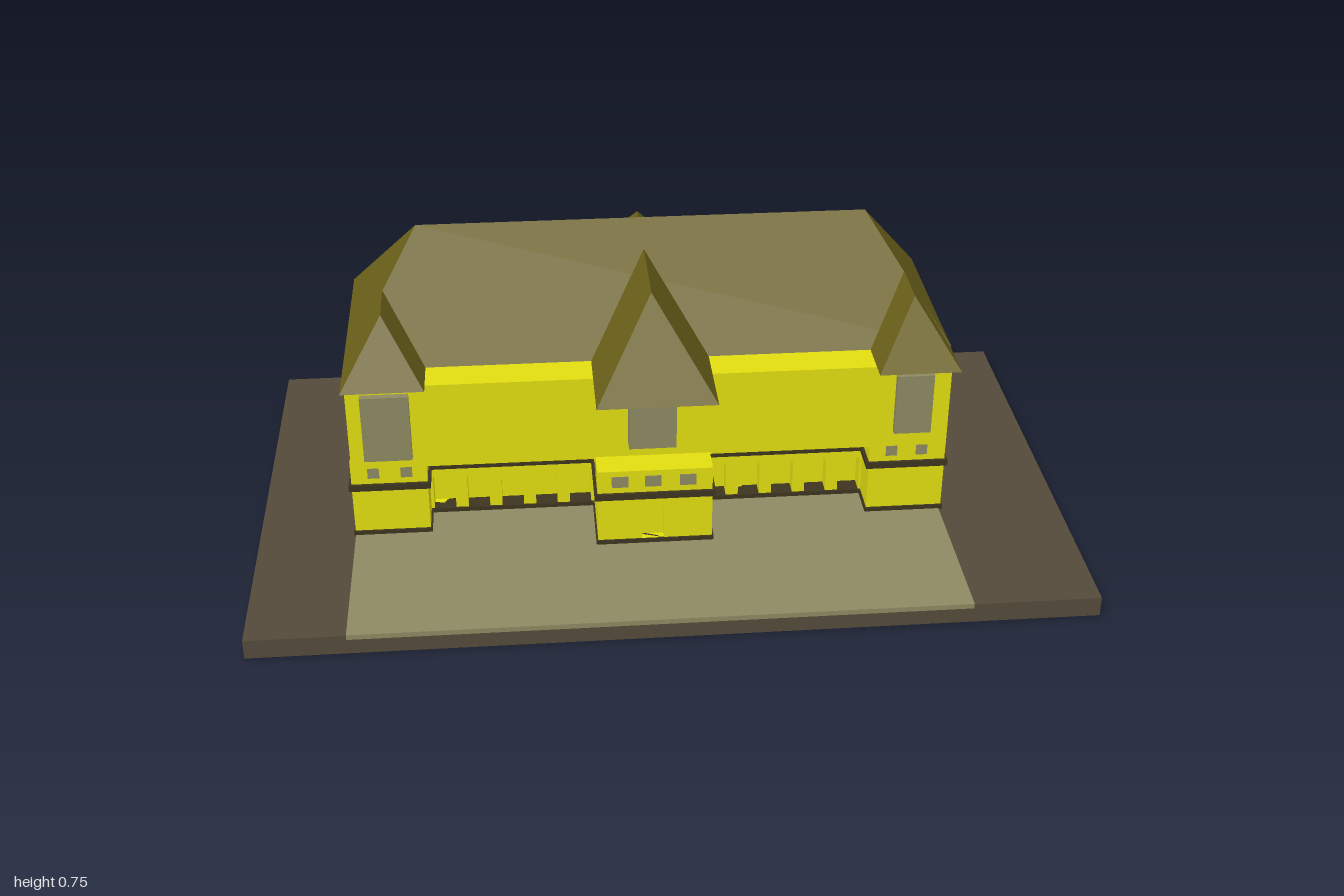
import * as THREE from 'three';
import { ConvexGeometry } from 'three/addons/geometries/ConvexGeometry.js';

const mat = (color) => new THREE.MeshStandardMaterial({ color, flatShading: true });

export function createModel() {
  const model = new THREE.Group();
  const wallMat = mat(0xe2de10), roofMat = mat(0x6b6019), groundMat = mat(0x544a3a);
  const paneMat = mat(0x8e8a62), bandMat = mat(0x3d3520);

  const add = (name, geometry, material, parent = model) => {
    const mesh = new THREE.Mesh(geometry, material);
    mesh.name = name;
    parent.add(mesh);
    return mesh;
  };
  // Box given by its limits on each axis
  const box = (name, x0, x1, y0, y1, z0, z1, material, parent) => {
    const g = new THREE.BoxGeometry(x1 - x0, y1 - y0, z1 - z0);
    g.translate((x0 + x1) / 2, (y0 + y1) / 2, (z0 + z1) / 2);
    return add(name, g, material, parent);
  };

  // Ground slab and forecourt
  box('groundSlab', -1, 1, 0, 0.05, -0.6, 0.6, groundMat);
  box('forecourt', -0.765, 0.695, 0.04, 0.053, 0.1, 0.602, paneMat);

  // Ground-floor block with a dark band and skirting round it
  const block = (name, x0, x1, z0, z1, wallZ1 = z1) => {
    const g = new THREE.Group();
    g.name = name;
    model.add(g);
    box('wall', x0, x1, 0.05, 0.26, z0, wallZ1, wallMat, g);
    const e = 0.007;
    box('band', x0 - e, x1 + e, 0.182, 0.199, z0 - e, z1 + e, bandMat, g);
    box('skirting', x0 - 0.004, x1 + 0.004, 0.05, 0.064, z0 - 0.004, z1 + 0.004, bandMat, g);
  };
  const ARCADE_Z = 0.11;
  block('mainBlock', -0.765, 0.7, -0.3, ARCADE_Z, 0.07);
  block('rightWing', -0.765, -0.58, 0.05, 0.195);
  block('leftWing', 0.51, 0.7, 0.05, 0.195);
  block('entranceBlock', -0.17, 0.11, 0.05, 0.285, 0.265);
  block('rearPorch', -0.17, 0.11, -0.39, -0.25);

  // Wall sheet with arched openings
  const archedWall = (name, x0, x1, centres, z0, z1) => {
    const s = new THREE.Shape();
    s.moveTo(x0, 0.05).lineTo(x1, 0.05).lineTo(x1, 0.26).lineTo(x0, 0.26).closePath();
    for (const x of centres) {
      const h = new THREE.Path();
      h.moveTo(x - 0.027, 0.064).lineTo(x - 0.027, 0.15);
      h.quadraticCurveTo(x - 0.025, 0.165, x, 0.166).quadraticCurveTo(x + 0.025, 0.165, x + 0.027, 0.15);
      h.lineTo(x + 0.027, 0.064).closePath();
      s.holes.push(h);
    }
    const g = new THREE.ExtrudeGeometry(s, { depth: z1 - z0, bevelEnabled: false, curveSegments: 4 });
    g.translate(0, 0, z0);
    add(name, g, wallMat);
  };
  archedWall('rightArcade', -0.58, -0.17, [-0.545, -0.46, -0.375, -0.29, -0.205], 0.07, ARCADE_Z);
  archedWall('leftArcade', 0.11, 0.51, [0.135, 0.22, 0.305, 0.39, 0.475].map((x) => x + 0.002), 0.07, ARCADE_Z);
  archedWall('entranceFront', -0.17, 0.11, [-0.035], 0.265, 0.285);

  // Upper storey
  box('upperStorey', -0.76, 0.695, 0.255, 0.48, -0.3, 0.215, wallMat);

  // Large upper bay windows
  box('rightBayWindow', -0.725, -0.61, 0.285, 0.46, 0.21, 0.232, paneMat);
  box('leftBayWindow', 0.56, 0.65, 0.3, 0.46, 0.21, 0.232, paneMat);
  box('centreBayWindow', -0.09, 0.025, 0.3, 0.43, 0.21, 0.25, paneMat);

  // Small windows: paneZ faces front or back, paneX faces a side
  const t = 0.002;
  const paneZ = (x, y0, y1, z, w = 0.04) => box('window', x - w / 2, x + w / 2, y0, y1, z - t, z + t, paneMat);
  const paneX = (z, y0, y1, x, w = 0.028) => box('window', x - t, x + t, y0, y1, z - w / 2, z + w / 2, paneMat);
  const HIGH = [0.215, 0.245], MID = [0.142, 0.16], LOW = [0.095, 0.125];
  const arcadeXs = [-0.54, -0.455, -0.375, -0.29, -0.21, 0.135, 0.22, 0.305, 0.39, 0.475];
  const wingXs = [-0.71, -0.63, 0.565, 0.64];
  const centreXs = [-0.115, -0.035, 0.05];

  for (const x of arcadeXs) paneZ(x, ...HIGH, ARCADE_Z);
  for (const x of wingXs) paneZ(x, ...HIGH, 0.195, 0.028);
  for (const x of centreXs) {
    paneZ(x, ...HIGH, 0.285);
    paneZ(x, ...HIGH, -0.39);
  }
  for (const x of [...arcadeXs, ...wingXs]) {
    for (const row of [HIGH, MID, LOW]) paneZ(x, ...row, -0.3, 0.032);
  }
  for (const x of [-0.115, 0.05]) for (const row of [MID, LOW]) paneZ(x, ...row, -0.39, 0.032);
  paneZ(-0.035, 0.064, 0.16, -0.39, 0.05).name = 'rearDoor';

  for (const x of [-0.765, 0.7]) {
    for (const z of [0.13, 0.04, -0.05, -0.145, -0.24]) paneX(z, ...HIGH, x);
    for (const z of [-0.05, -0.145, -0.24]) for (const row of [MID, LOW]) paneX(z, ...row, x, 0.036);
  }
  for (const x of [-0.17, 0.11]) {
    paneX(0.225, ...HIGH, x);
    paneX(-0.335, ...HIGH, x);
    for (const row of [MID, LOW]) paneX(-0.335, ...row, x, 0.036);
  }

  // Hipped roof: eaves rectangle plus the two ends of the ridge
  const EAVE = 0.481;
  const roof = (name, x0, x1, z0, z1, a, b) => {
    const pts = [[x0, EAVE, z0], [x1, EAVE, z0], [x1, EAVE, z1], [x0, EAVE, z1], a, b];
    add(name, new ConvexGeometry(pts.map((p) => new THREE.Vector3(...p))), roofMat);
  };
  roof('mainRoof', -0.768, 0.71, -0.357, 0.13, [-0.585, 0.745, -0.112], [0.525, 0.745, -0.112]);
  roof('centreRoof', -0.172, 0.113, -0.467, 0.363, [-0.03, 0.685, -0.278], [-0.03, 0.685, 0.178]);
  roof('rightWingRoof', -0.768, -0.57, 0, 0.246, [-0.668, 0.625, 0], [-0.668, 0.625, 0.125]);
  roof('leftWingRoof', 0.51, 0.708, 0, 0.258, [0.61, 0.625, 0], [0.61, 0.625, 0.13]);

  return model;
}
